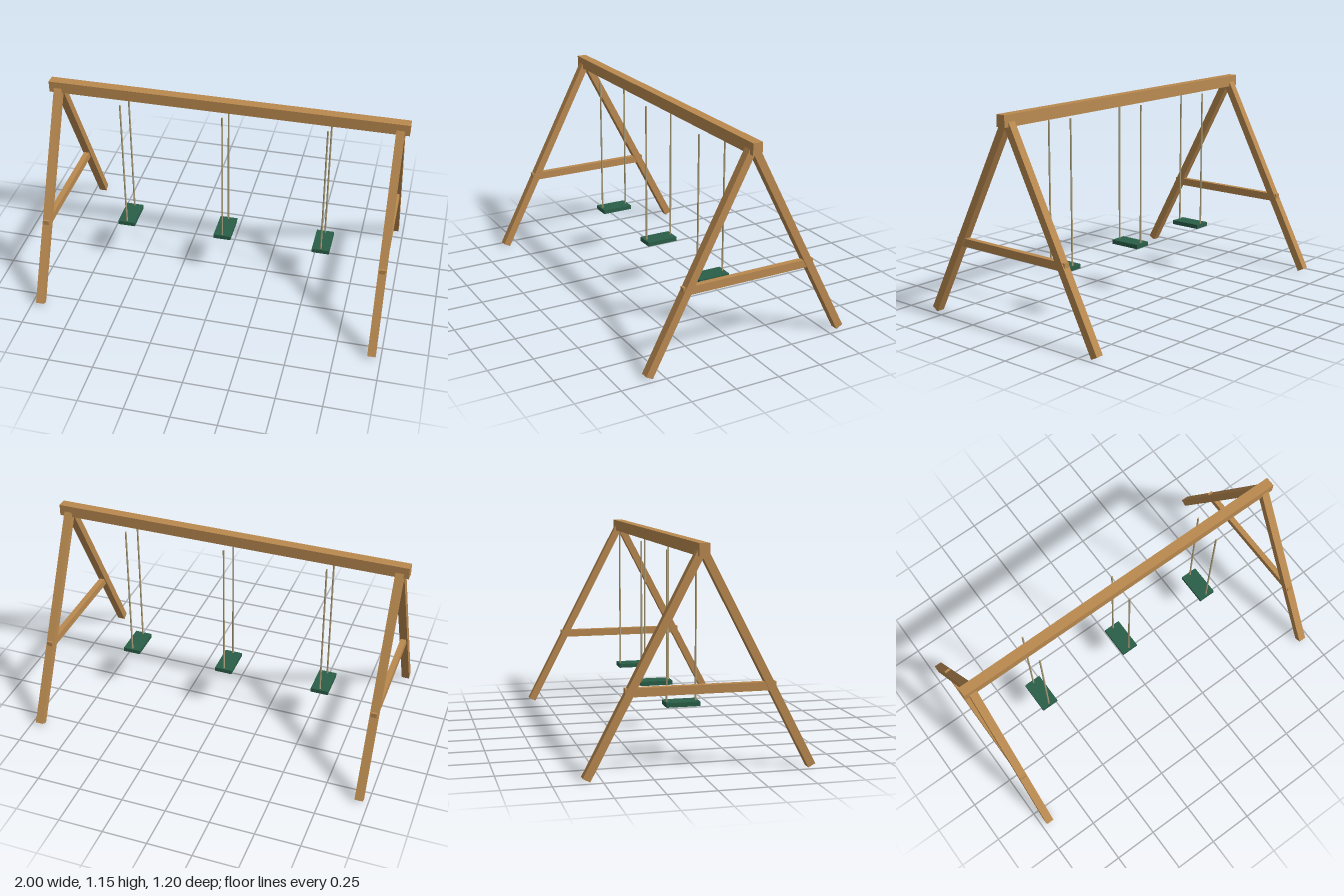
import * as THREE from 'three';

export function createModel() {
  const model = new THREE.Group();
  const mat = (name, color) => {
    const m = new THREE.MeshStandardMaterial({ color });
    m.name = name;
    return m;
  };
  const wood = mat('warm wood', 0xba8a50);
  const green = mat('green seat', 0x2a5f48);
  const ropeTan = mat('rope tan', 0xb0a27c);

  const add = (parent, name, geometry, material, x, y, z) => {
    const mesh = new THREE.Mesh(geometry, material);
    mesh.name = name;
    mesh.position.set(x, y, z);
    parent.add(mesh);
    return mesh;
  };

  // Top beam
  add(model, 'topBeam', new THREE.BoxGeometry(2, 0.064, 0.055), wood, 0, 1.118, 0);

  // A-frames: two splayed legs and a crossbar at each end
  const topY = 1.12, footY = 0.01, footZ = 0.58;
  const legLength = Math.hypot(topY - footY, footZ);
  const splay = Math.atan2(footZ, topY - footY);
  const legGeo = new THREE.BoxGeometry(0.045, legLength, 0.042);
  const barGeo = new THREE.BoxGeometry(0.032, 0.044, 0.772);
  for (const side of [-1, 1]) {
    const frame = new THREE.Group();
    frame.name = side > 0 ? 'leftFrame' : 'rightFrame';
    frame.position.x = side * 0.95;
    for (const s of [-1, 1]) {
      const leg = add(frame, s > 0 ? 'frontLeg' : 'backLeg', legGeo, wood,
        0, (topY + footY) / 2, s * footZ / 2);
      leg.rotation.x = -s * splay;
    }
    add(frame, 'crossbar', barGeo, wood, 0, 0.43, 0);
    model.add(frame);
  }

  // Three swings, each hung on two ropes
  const seatGeo = new THREE.BoxGeometry(0.1, 0.024, 0.183);
  const ropeGeo = new THREE.CylinderGeometry(0.005, 0.005, 0.8, 16);
  for (const x of [-0.575, 0, 0.575]) {
    const swing = new THREE.Group();
    swing.name = 'swing';
    swing.position.x = x;
    add(swing, 'seat', seatGeo, green, 0, 0.28, 0);
    for (const s of [-1, 1]) add(swing, 'rope', ropeGeo, ropeTan, 0, 0.686, s * 0.078);
    model.add(swing);
  }
  return model;
}
